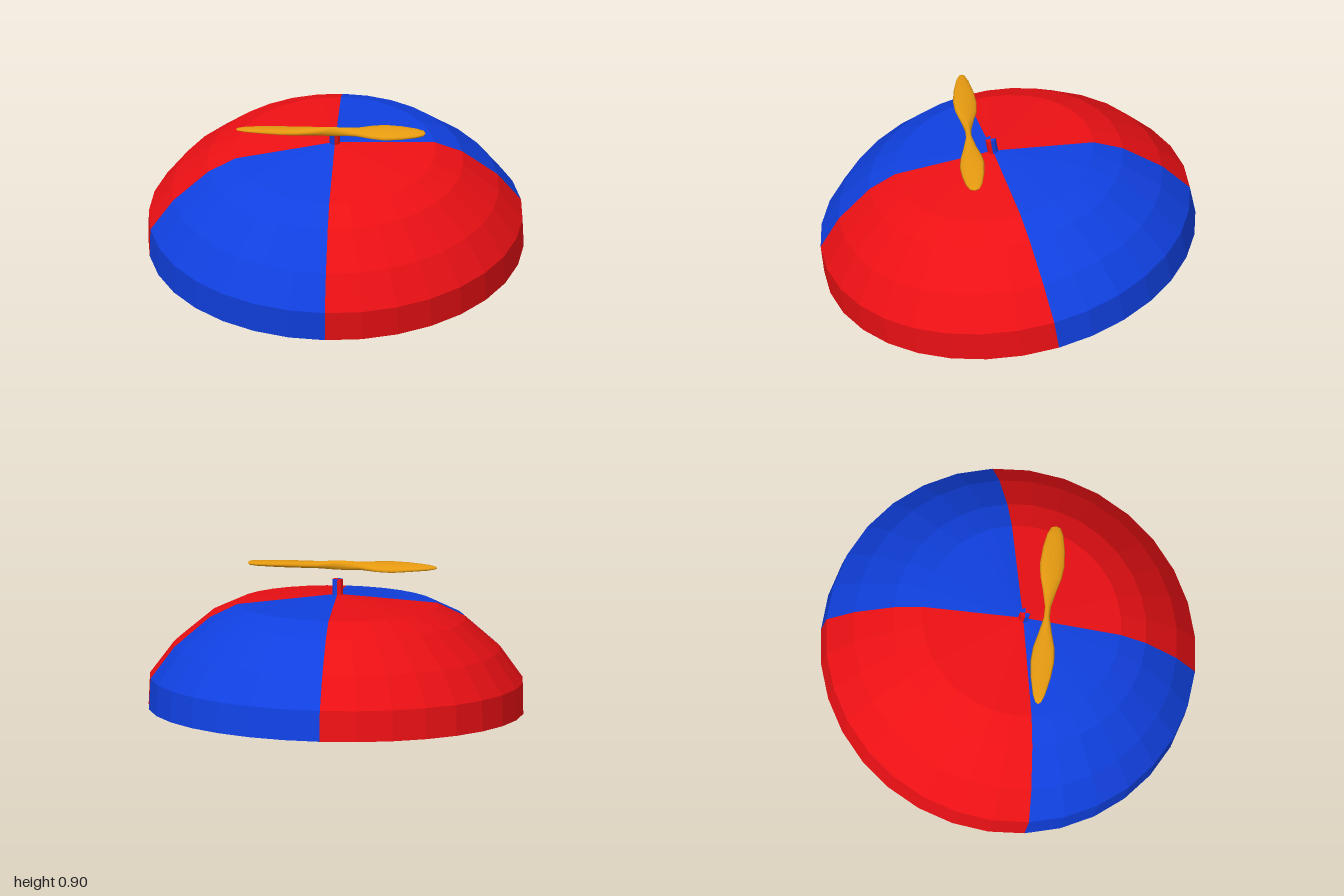
import * as THREE from 'three';

const STEP = Math.PI / 16; // one of 32 sides

const flat = (color) => new THREE.MeshStandardMaterial({ color, flatShading: true });
const red = flat(0xec1014);
const blue = flat(0x1040e0);
const gold = new THREE.MeshStandardMaterial({ color: 0xe69a10 });

function add(parent, name, geometry, material) {
  const mesh = new THREE.Mesh(geometry, material);
  mesh.name = name;
  parent.add(mesh);
  return mesh;
}

// Closed loft along x; each section is [x, centreY, halfDepth, halfHeight, pitch]
function loftBlades(sections, sides) {
  const pos = [], index = [];
  for (const [x, y, depth, height, pitch] of sections) {
    for (let j = 0; j < sides; j++) {
      const a = (j / sides) * Math.PI * 2;
      const v = Math.cos(a) * height, w = Math.sin(a) * depth;
      pos.push(x, y + v * Math.cos(pitch) - w * Math.sin(pitch), v * Math.sin(pitch) + w * Math.cos(pitch));
    }
  }
  for (let i = 0; i < sections.length - 1; i++) {
    for (let j = 0; j < sides; j++) {
      const a = i * sides + j, b = i * sides + ((j + 1) % sides);
      index.push(a, b, a + sides, b, b + sides, a + sides);
    }
  }
  const g = new THREE.BufferGeometry();
  g.setAttribute('position', new THREE.Float32BufferAttribute(pos, 3));
  g.setIndex(index);
  g.computeVertexNormals();
  return g;
}

export function createModel() {
  const model = new THREE.Group();
  model.name = 'propellerCap';

  // Cap, tipped forward
  const cap = new THREE.Group();
  cap.name = 'cap';
  cap.position.set(0, 0.145, -0.01);
  cap.rotation.x = 0.147;
  model.add(cap);

  const dome = [[1, 0], [0.995, 0.166], [0.871, 0.336], [0.682, 0.498], [0.535, 0.568], [0, 0.62]]
    .map(([r, y]) => new THREE.Vector2(r, y));
  const stem = [[0.028, 0.6], [0.028, 0.7], [0, 0.7]].map(([r, y]) => new THREE.Vector2(r, y));

  // Four coloured panels: [name, first side, side count, material]
  const panels = [
    ['FrontLeft', 0, 9, red],
    ['BackLeft', 9, 7, blue],
    ['BackRight', 16, 9, red],
    ['FrontRight', 25, 7, blue],
  ];
  panels.forEach(([name, first, count, material], i) => {
    add(cap, 'panel' + name, new THREE.LatheGeometry(dome, count, first * STEP, count * STEP), material);
    add(cap, 'stem' + name, new THREE.LatheGeometry(stem, 2, i * Math.PI / 2, Math.PI / 2), material);
  });

  // Flat underside
  add(cap, 'underside', new THREE.CircleGeometry(1, 32).rotateX(Math.PI / 2), blue);

  // Two-bladed propeller hovering ahead of the stem
  const blades = loftBlades([
    [-0.52, 0, 0.001, 0.001, 0],
    [-0.51, 0, 0.016, 0.007, -0.05],
    [-0.47, 0, 0.032, 0.012, -0.08],
    [-0.37, 0, 0.054, 0.015, -0.1],
    [-0.28, -0.002, 0.064, 0.017, -0.12],
    [-0.2, -0.002, 0.058, 0.018, -0.1],
    [-0.11, 0, 0.034, 0.02, 0],
    [-0.03, 0, 0.016, 0.026, 0],
    [0.03, 0, 0.016, 0.025, 0],
    [0.12, 0, 0.036, 0.018, 0.1],
    [0.2, 0, 0.058, 0.018, 0.18],
    [0.27, 0, 0.067, 0.019, 0.22],
    [0.36, 0, 0.06, 0.017, 0.2],
    [0.44, 0, 0.044, 0.014, 0.15],
    [0.48, 0, 0.026, 0.01, 0.1],
    [0.49, 0, 0.001, 0.001, 0],
  ], 12);
  add(model, 'propeller', blades, gold).position.set(0, 0.875, 0.21);

  return model;
}
